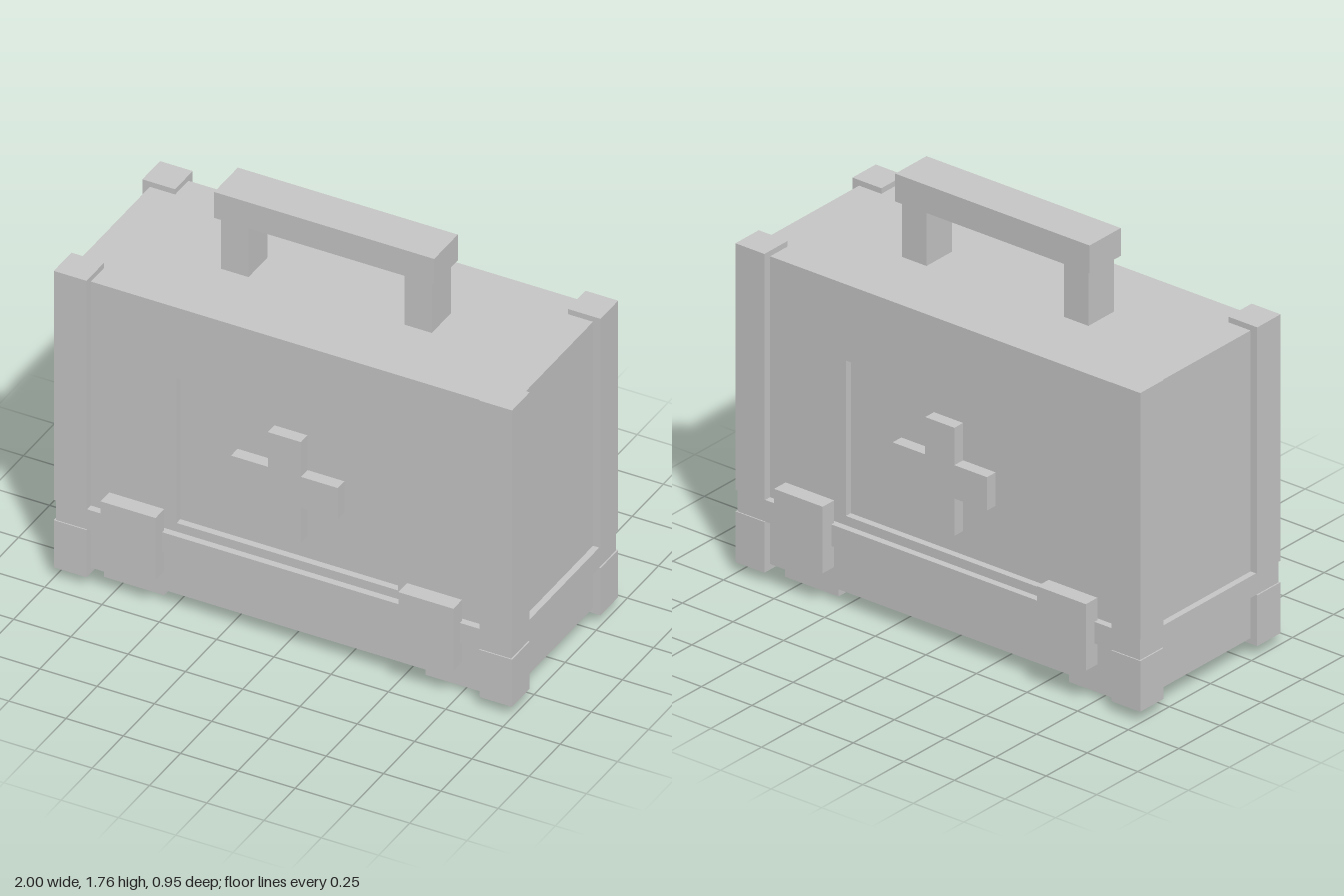
import * as THREE from 'three';

const grey = new THREE.MeshStandardMaterial({ color: 0xc8c8c8 });
grey.name = 'lightGrey';

export function createModel() {
  const model = new THREE.Group();
  model.name = 'firstAidCase';

  const add = (name, geometry) => {
    const mesh = new THREE.Mesh(geometry, grey);
    mesh.name = name;
    model.add(mesh);
    return mesh;
  };
  // Box given by its min and max on each axis
  const box = (name, [x0, x1], [y0, y1], [z0, z1]) =>
    add(name, new THREE.BoxGeometry(x1 - x0, y1 - y0, z1 - z0))
      .position.set((x0 + x1) / 2, (y0 + y1) / 2, (z0 + z1) / 2);
  // Range mirrored to the chosen side
  const side = (s, a, b) => (s > 0 ? [a, b] : [-b, -a]);
  const rect = (Type, x, y0, y1) => new Type([
    new THREE.Vector2(-x, y0), new THREE.Vector2(x, y0),
    new THREE.Vector2(x, y1), new THREE.Vector2(-x, y1),
  ]);
  const extrude = (shape, depth) =>
    new THREE.ExtrudeGeometry(shape, { depth, bevelEnabled: false });

  // Case body: a core with a framed face on front and back
  const faceZ = 0.392, recessZ = 0.362;
  box('bodyCore', [-0.967, 0.967], [0.072, 1.398], [-recessZ, recessZ]);
  const frame = rect(THREE.Shape, 0.967, 0.072, 1.398);
  frame.holes.push(rect(THREE.Path, 0.483, 0.4, 1.07));

  // Cross outline
  const r = 0.233, a = 0.072;
  const cross = new THREE.Shape([
    [-a, -r], [a, -r], [a, -a], [r, -a], [r, a], [a, a],
    [a, r], [-a, r], [-a, a], [-r, a], [-r, -a], [-a, -a],
  ].map(([x, y]) => new THREE.Vector2(x, y)));

  for (const s of [1, -1]) {
    const label = s > 0 ? 'front' : 'back';
    const turn = s > 0 ? 0 : Math.PI;
    const face = add(label + 'Frame', extrude(frame, faceZ - recessZ));
    face.position.z = s * recessZ;
    face.rotation.y = turn;
    const emblem = add(label + 'Cross', extrude(cross, 0.415 - recessZ));
    emblem.position.set(0, 0.735, s * recessZ);
    emblem.rotation.y = turn;
  }

  // Band around the case
  box('band', [-0.994, 0.994], [0.267, 0.36], [-0.422, 0.422]);

  // Corner guards, latches and feet
  for (const sx of [1, -1]) {
    for (const sz of [1, -1]) {
      const gx = side(sx, 0.857, 1), gz = side(sz, 0.285, 0.427);
      box('upperCornerGuard', gx, [0.36, 1.422], gz);
      box('lowerCornerGuard', gx, [0.048, 0.267], gz);
      box('latch', side(sx, 0.53, 0.77), [0.17, 0.457], side(sz, 0.405, 0.475));
      box('foot', side(sx, 0.57, 0.833), [0, 0.072], side(sz, 0.152, 0.33));
    }
    box('handlePost', side(sx, 0.34, 0.46), [1.398, 1.638], [-0.077, 0.077]);
  }

  // Handle grip
  box('handleGrip', [-0.48, 0.48], [1.638, 1.758], [-0.095, 0.095]);

  return model;
}
